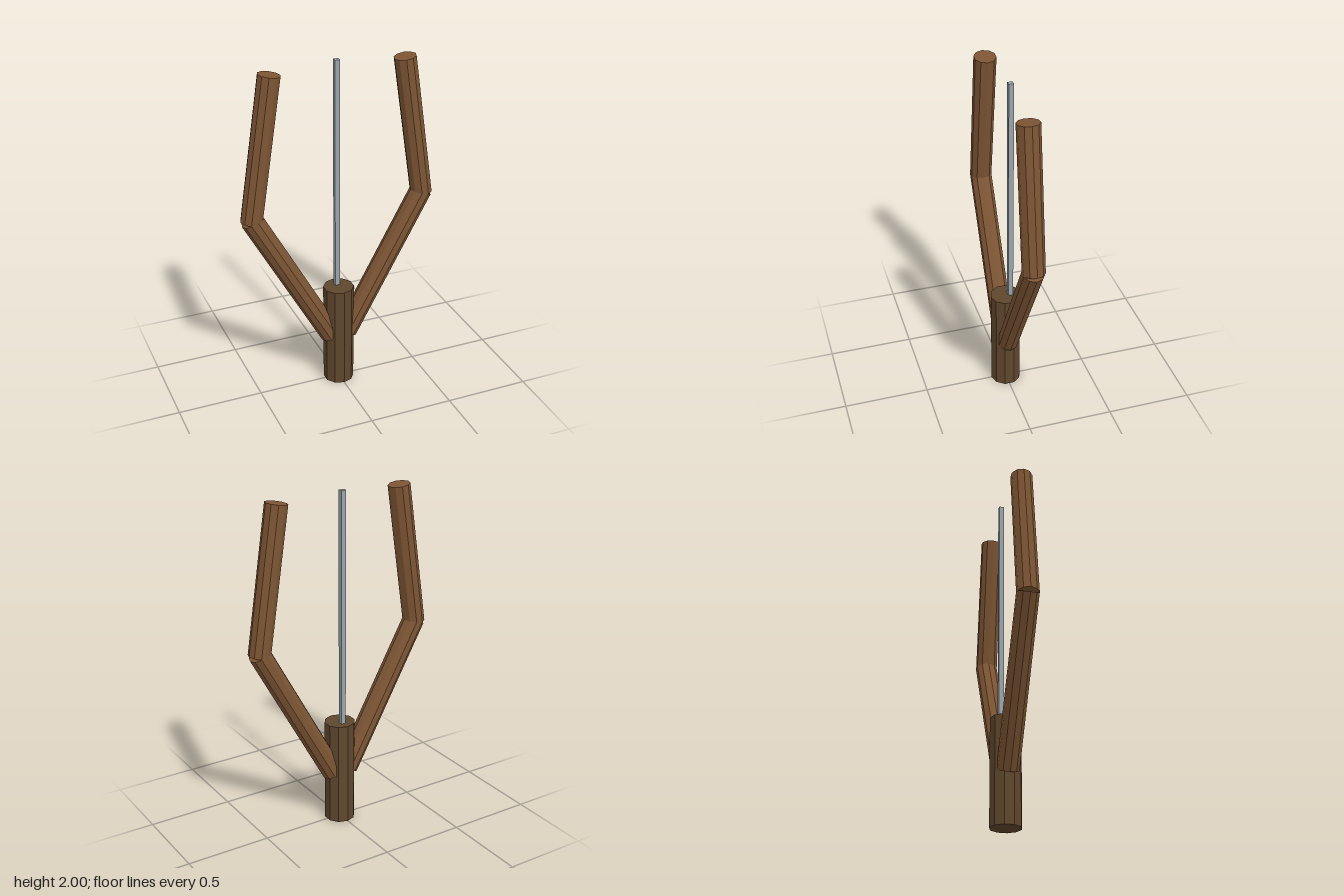
import * as THREE from 'three';

export function createModel() {
  const model = new THREE.Group();
  model.name = 'forkedStick';

  const material = (name, color) => {
    const m = new THREE.MeshStandardMaterial({ color, flatShading: true });
    m.name = name;
    return m;
  };
  const darkWood = material('darkWood', 0x5f472d);
  const lightWood = material('lightWood', 0x7d5534);
  const metal = material('metal', 0x9aa5ab);

  const add = (name, geometry, mat, x, y, z) => {
    const mesh = new THREE.Mesh(geometry, mat);
    mesh.name = name;
    mesh.position.set(x, y, z);
    model.add(mesh);
    return mesh;
  };

  // Ten-sided handle standing on the ground
  add('handle', new THREE.CylinderGeometry(0.09, 0.09, 0.625, 10), darkWood, 0, 0.3125, 0);

  // Ten-sided branch running between two points in the front plane
  const branch = (name, x0, y0, x1, y1) => {
    const dx = x1 - x0, dy = y1 - y0;
    const geometry = new THREE.CylinderGeometry(0.0635, 0.0635, Math.hypot(dx, dy), 10);
    geometry.rotateY(Math.PI / 2); // corners point sideways, flats face front and back
    add(name, geometry, lightWood, (x0 + x1) / 2, (y0 + y1) / 2, 0).rotation.z = -Math.atan2(dx, dy);
  };

  // Mirrored fork: a splayed lower limb and an upper limb leaning back in
  for (const [side, s] of [['left', 1], ['right', -1]]) {
    branch(side + 'LowerBranch', s * 0.051, 0.311, s * 0.516, 1.157);
    branch(side + 'UpperBranch', s * 0.516, 1.145, s * 0.39, 1.976);
  }

  // Thin square rod rising from the handle, set slightly back
  add('rod', new THREE.BoxGeometry(0.029, 1.4, 0.029), metal, 0, 1.3, -0.028);

  return model;
}
